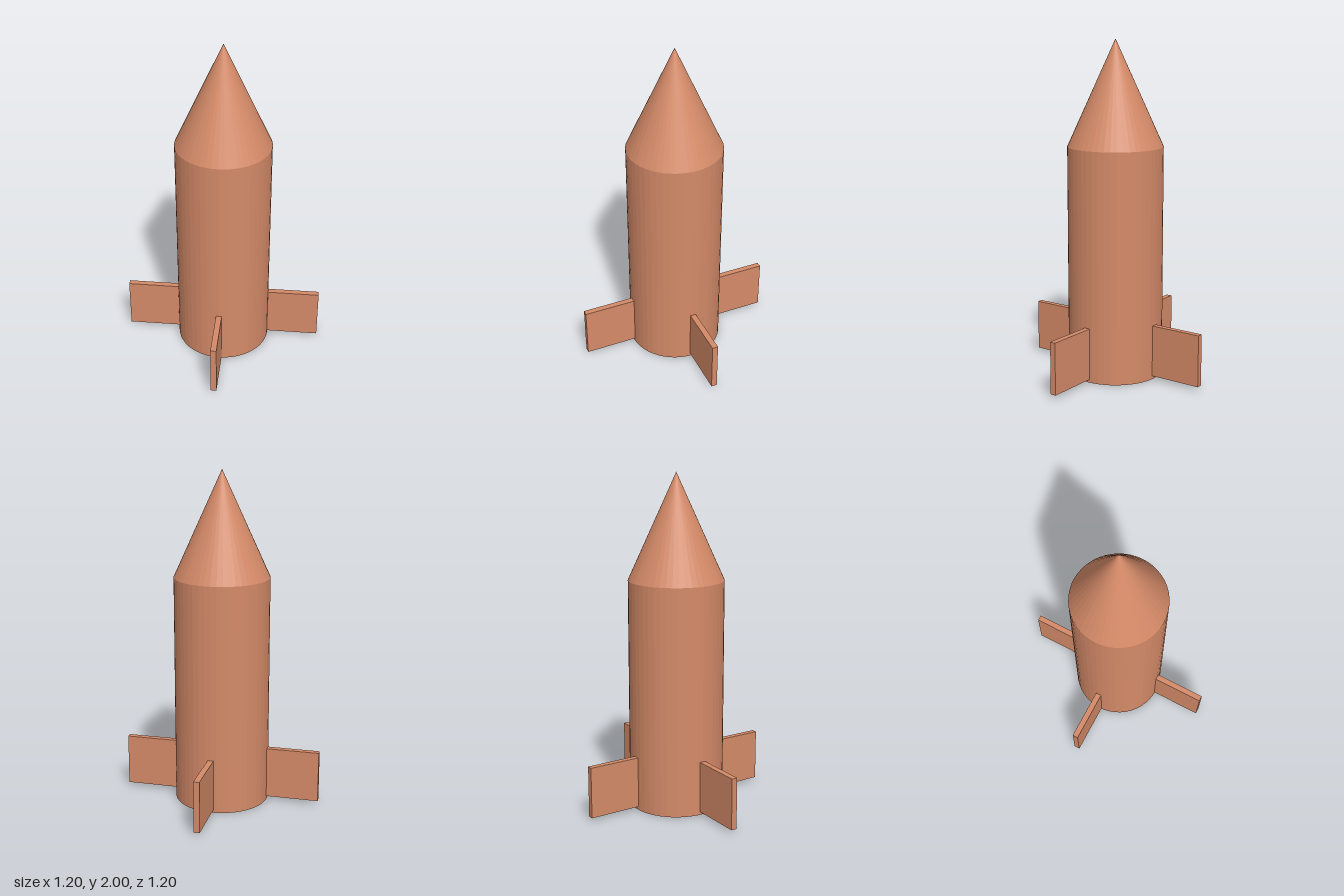
import * as THREE from 'three';

const RADIUS = 0.284, SHOULDER = 1.375, TOP = 2, SIDES = 48;

export function createModel() {
  const model = new THREE.Group();
  model.name = 'rocket';
  const copper = new THREE.MeshStandardMaterial({ color: 0xd48a68, flatShading: true });
  copper.name = 'copper';

  const add = (name, geometry, x, y, z) => {
    const mesh = new THREE.Mesh(geometry, copper);
    mesh.name = name;
    mesh.position.set(x, y, z);
    model.add(mesh);
    return mesh;
  };

  // Body: the top is hidden under the nose, so only the base is capped
  add('body', new THREE.CylinderGeometry(RADIUS, RADIUS, SHOULDER, SIDES, 1, true), 0, SHOULDER / 2, 0);
  add('base', new THREE.CircleGeometry(RADIUS, SIDES), 0, 0, 0).rotation.x = Math.PI / 2;

  // Pointed nose
  const noseHeight = TOP - SHOULDER;
  add('nose', new THREE.ConeGeometry(RADIUS, noseHeight, SIDES, 1, true), 0, SHOULDER + noseHeight / 2, 0);

  // Four rectangular fins, rooted just inside the body
  const inner = 0.275, outer = 0.6, bottom = 0.02, top = 0.33;
  const finGeometry = new THREE.BoxGeometry(outer - inner, top - bottom, 0.035);
  const reach = (inner + outer) / 2;
  ['leftFin', 'backFin', 'rightFin', 'frontFin'].forEach((name, i) => {
    const angle = i * Math.PI / 2;
    const fin = add(name, finGeometry, reach * Math.cos(angle), (bottom + top) / 2, -reach * Math.sin(angle));
    fin.rotation.y = angle;
  });

  return model;
}
